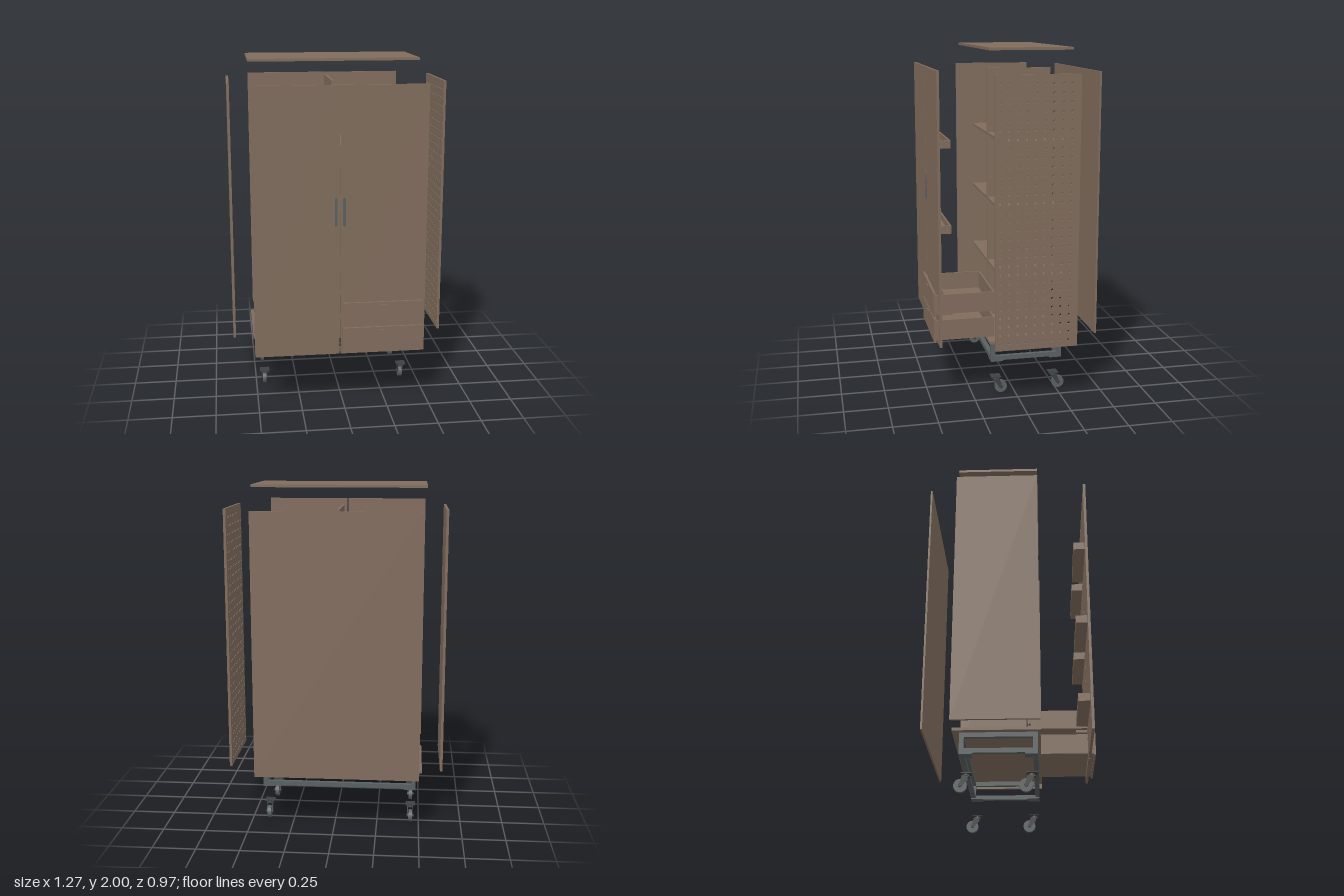
import * as THREE from 'three';

export function createModel() {
  const root = new THREE.Group();
  const mat = (name, color) => {
    const m = new THREE.MeshStandardMaterial({ color });
    m.name = name;
    return m;
  };
  const wood = mat('wood', 0x806c5c);
  const metal = mat('metal', 0x596060);
  const dark = mat('darkMetal', 0x3c4040);

  const add = (parent, name, geometry, material) => {
    const mesh = new THREE.Mesh(geometry, material);
    mesh.name = name;
    parent.add(mesh);
    return mesh;
  };
  // Box given by its limits on each axis
  const box = (parent, name, material, x0, x1, y0, y1, z0, z1) => {
    const m = add(parent, name, new THREE.BoxGeometry(x1 - x0, y1 - y0, z1 - z0), material);
    m.position.set((x0 + x1) / 2, (y0 + y1) / 2, (z0 + z1) / 2);
    return m;
  };
  const group = (name, x = 0, y = 0, z = 0) => {
    const g = new THREE.Group();
    g.name = name;
    g.position.set(x, y, z);
    root.add(g);
    return g;
  };

  // Carcass panels, pulled apart
  box(root, 'topPanel', wood, -0.515, 0.472, 1.985, 2, -0.313, 0.16);
  box(root, 'bottomPanel', wood, -0.515, 0.472, 0.322, 0.338, -0.313, 0.16);
  box(root, 'backPanel', wood, -0.497, 0.455, 0.338, 1.865, -0.483, -0.472);
  box(root, 'rightSidePanel', wood, -0.635, -0.62, 0.338, 1.865, -0.313, 0.16);
  box(root, 'divider', wood, -0.028, -0.013, 0.338, 1.865, -0.313, 0.075);

  // Perforated side panel
  const side = new THREE.Shape();
  side.moveTo(-0.16, 0.338).lineTo(0.313, 0.338).lineTo(0.313, 1.865).lineTo(-0.16, 1.865).closePath();
  for (let i = 0; i < 9; i++) {
    for (let j = 0; j < 30; j++) {
      const hole = new THREE.Path();
      hole.absarc(-0.132 + i * 0.0493, 0.378 + j * 0.0496, 0.0075, 0, Math.PI * 2, true);
      side.holes.push(hole);
    }
  }
  const sideGeo = new THREE.ExtrudeGeometry(side, { depth: 0.015, bevelEnabled: false, curveSegments: 8 });
  sideGeo.rotateY(Math.PI / 2);
  add(root, 'perforatedSidePanel', sideGeo, wood).position.x = 0.617;

  // Shelves on both sides of the divider
  for (const y of [0.68, 1.075, 1.47]) {
    box(root, 'shelf', wood, -0.5, -0.028, y, y + 0.015, -0.313, 0.075);
    box(root, 'shelf', wood, -0.013, 0.455, y, y + 0.015, -0.313, 0.075);
  }

  // Open tray: floor and four walls
  const tray = (name, x0, x1, y0, y1, z0, z1, t) => {
    const g = group(name);
    box(g, 'floor', wood, x0, x1, y0, y0 + t, z0, z1);
    box(g, 'sideWall', wood, x0, x0 + t, y0 + t, y1, z0, z1);
    box(g, 'sideWall', wood, x1 - t, x1, y0 + t, y1, z0, z1);
    box(g, 'endWall', wood, x0 + t, x1 - t, y0 + t, y1, z0, z0 + t);
    box(g, 'endWall', wood, x0 + t, x1 - t, y0 + t, y1, z1 - t, z1);
    return g;
  };

  // Doors with racks on their inside
  box(root, 'rightDoor', wood, -0.515, -0.025, 0.323, 1.88, 0.432, 0.447);
  box(root, 'leftDoor', wood, -0.019, 0.472, 0.323, 1.88, 0.432, 0.447);
  for (const y of [0.5, 0.975, 1.455]) {
    tray('doorRack', -0.468, -0.072, y, y + 0.045, 0.366, 0.432, 0.01);
    tray('doorRack', 0.028, 0.425, y, y + 0.045, 0.366, 0.432, 0.01);
  }

  // Flush door handles with round ends
  const grip = new THREE.Shape();
  grip.absarc(0, 0.074, 0.008, 0, Math.PI);
  grip.absarc(0, -0.074, 0.008, Math.PI, Math.PI * 2);
  grip.closePath();
  const gripGeo = new THREE.ExtrudeGeometry(grip, { depth: 0.003, bevelEnabled: false, curveSegments: 8 });
  for (const x of [-0.046, 0.001]) {
    add(root, 'doorHandle', gripGeo, metal).position.set(x, 1.172, 0.446);
  }

  // Drawers, pulled forward
  for (const [y0, y1, f0, f1] of [[0.36, 0.478, 0.35, 0.49], [0.515, 0.628, 0.5, 0.642]]) {
    const drawer = tray('drawer', -0.002, 0.445, y0, y1, 0.125, 0.468, 0.01);
    box(drawer, 'drawerFront', wood, -0.01, 0.453, f0, f1, 0.465, 0.477);
    box(drawer, 'drawerPull', wood, 0.2, 0.245, f1 - 0.02, f1 - 0.014, 0.476, 0.483);
  }

  // Steel base frame of square tubes
  const frame = group('baseFrame');
  const t = 0.026, X0 = -0.48, X1 = 0.436, Z0 = -0.275, Z1 = 0.145;
  for (const y of [0.208, 0.296]) {
    for (const z of [Z0, Z1 - t]) box(frame, 'longRail', metal, X0, X1, y, y + t, z, z + t);
    for (const x of [X0, X1 - t]) box(frame, 'crossRail', metal, x, x + t, y, y + t, Z0 + t, Z1 - t);
  }
  for (const right of [true, false]) {
    for (const back of [true, false]) {
      const x = right ? X0 : X1 - t, z = back ? Z0 : Z1 - t;
      box(frame, 'post', metal, x, x + t, 0.234, 0.296, z, z + t);
      const px = right ? X0 : X1 - 0.07, pz = back ? Z0 : Z1 - 0.07;
      box(frame, 'footPlate', metal, px, px + 0.07, 0.201, 0.208, pz, pz + 0.07);
    }
  }

  // Swivel casters: plate, bearing, raked fork and wheel
  const wheelGeo = new THREE.CylinderGeometry(0.036, 0.036, 0.022, 24).rotateZ(Math.PI / 2);
  const axleGeo = new THREE.CylinderGeometry(0.01, 0.01, 0.042, 12).rotateZ(Math.PI / 2);
  const fork = new THREE.Shape();
  fork.moveTo(-0.018, 0.09).lineTo(0.022, 0.09).lineTo(0.04, 0.03).lineTo(0.022, 0.03).closePath();
  const forkGeo = new THREE.ExtrudeGeometry(fork, { depth: 0.004, bevelEnabled: false }).rotateY(Math.PI / 2);
  for (const x of [-0.45, 0.402]) {
    for (const z of [0.112, -0.234]) {
      const c = group('caster', x, 0, z);
      box(c, 'plate', dark, -0.029, 0.029, 0.098, 0.103, -0.029, 0.029);
      add(c, 'bearing', new THREE.CylinderGeometry(0.016, 0.02, 0.012, 16), dark).position.y = 0.092;
      box(c, 'forkBridge', dark, -0.018, 0.018, 0.082, 0.088, -0.022, 0.018);
      for (const fx of [-0.018, 0.014]) add(c, 'forkArm', forkGeo, dark).position.x = fx;
      add(c, 'wheel', wheelGeo, metal).position.set(0, 0.036, -0.031);
      add(c, 'axle', axleGeo, dark).position.set(0, 0.036, -0.031);
    }
  }
  return root;
}
